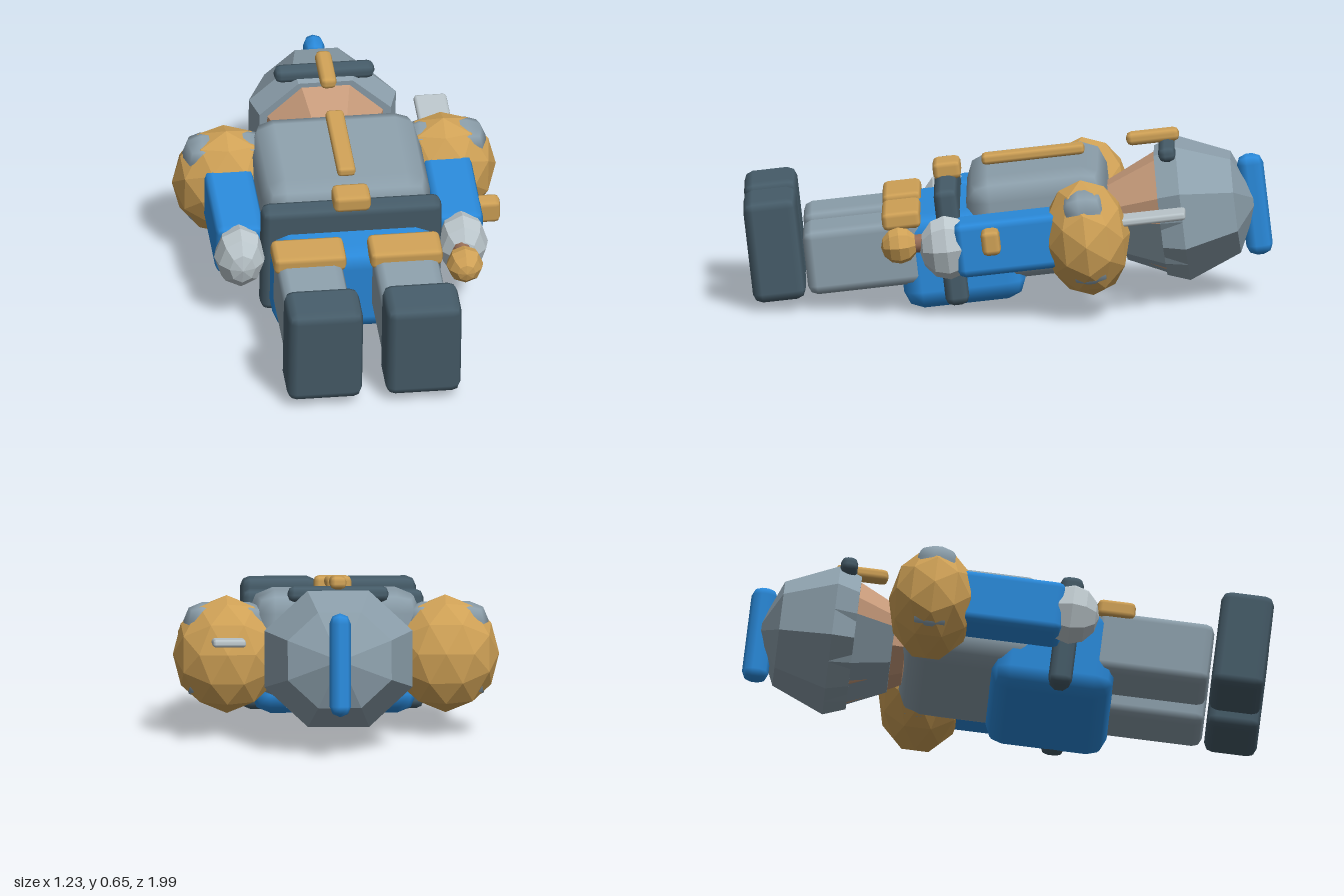
import * as THREE from 'three';
import { RoundedBoxGeometry } from 'three/addons/geometries/RoundedBoxGeometry.js';

// The knight lies on its back, leaning slightly: its own "up" runs toward -z, its front faces +y.
const LEAN = 0.115 - Math.PI / 2;

const paint = (name, color, extra = {}) => {
  const m = new THREE.MeshStandardMaterial({ color, ...extra });
  m.name = name;
  return m;
};

// Turn a geometry into flat facets
function facet(geometry) {
  const g = geometry.index ? geometry.toNonIndexed() : geometry;
  g.computeVertexNormals();
  return g;
}

const profile = (pts, segments, start, length) => facet(new THREE.LatheGeometry(
  pts.map(([x, y]) => new THREE.Vector2(x, y)), segments, start, length));

export function createModel() {
  const armor = paint('armor grey', 0x8c9fab, { side: THREE.DoubleSide });
  const steel = paint('pale steel', 0xbcc7cc);
  const gold = paint('gold', 0xcfa156);
  const blue = paint('blue cloth', 0x2a8adb);
  const dark = paint('dark slate', 0x465c69);
  const skin = paint('skin', 0xc69a7a);
  const leather = paint('leather', 0x9a705a);

  const model = new THREE.Group();
  model.name = 'knight';

  const add = (name, geometry, material, x, y, z) => {
    const mesh = new THREE.Mesh(geometry, material);
    mesh.name = name;
    mesh.position.set(x, y, z);
    mesh.rotation.x = LEAN;
    model.add(mesh);
    return mesh;
  };
  // Chamfered block: width across, height along the body, depth toward the front
  const block = (name, material, [w, h, d], [x, y, z], r = 0.03) =>
    add(name, new RoundedBoxGeometry(w, h, d, 1, Math.min(r, w * 0.48, h * 0.48, d * 0.48)), material, x, y, z);

  // Torso, pelvis and belt
  block('torso', armor, [0.64, 0.53, 0.4], [0, 0.333, -0.12], 0.09);
  block('chestRidge', gold, [0.07, 0.39, 0.04], [0, 0.553, -0.094], 0.015);
  block('pelvis', blue, [0.62, 0.46, 0.36], [0, 0.205, 0.173], 0.07);
  block('belt', dark, [0.684, 0.09, 0.45], [0, 0.256, 0.21], 0.03);
  block('buckle', gold, [0.142, 0.105, 0.07], [0, 0.497, 0.23], 0.02);

  // Legs and arms, mirrored
  for (const s of [-1, 1]) {
    const side = s > 0 ? 'left' : 'right';
    block(side + 'Boot', dark, [0.285, 0.2, 0.39], [s * 0.187, 0.238, 0.877], 0.035);
    block(side + 'Leg', armor, [0.25, 0.45, 0.25], [s * 0.183, 0.211, 0.537], 0.035);
    block(side + 'Tasset', gold, [0.275, 0.145, 0.07], [s * 0.183, 0.355, 0.4], 0.02);
    block(side + 'Arm', blue, [0.185, 0.45, 0.21], [s * 0.415, 0.298, -0.03], 0.03);
    block(side + 'ShoulderBlock', armor, [0.32, 0.17, 0.365], [s * 0.415, 0.325, -0.3], 0.07);

    const pauldron = facet(new THREE.IcosahedronGeometry(1, 1));
    add(side + 'Pauldron', pauldron, gold, s * 0.412, 0.312, -0.3).scale.set(0.203, 0.165, 0.222);
    const hand = facet(new THREE.SphereGeometry(1, 8, 6));
    add(side + 'Hand', hand, steel, s * 0.422, 0.275, 0.225).scale.set(0.098, 0.105, 0.123);
  }

  // Head and open-faced helmet, eight-sided with a flat side to the front
  const headAt = [0, 0.345, -0.66];
  const turn = Math.PI / 8;
  const face = profile([[0, -0.29], [0.14, -0.28], [0.25, -0.06], [0.25, 0.05], [0, 0.1]], 8, turn, Math.PI * 2);
  add('face', face, skin, ...headAt).scale.z = 0.96;
  const dome = profile([[0, -0.085], [0.27, -0.085], [0.302, 0], [0.212, 0.2], [0, 0.285]], 8, turn, Math.PI * 2);
  add('helmetDome', dome, armor, ...headAt).scale.z = 0.92;
  const guard = profile([[0, -0.24], [0.19, -0.23], [0.262, -0.085], [0.28, 0]], 4, Math.PI / 2, Math.PI);
  add('neckGuard', guard, armor, ...headAt).scale.z = 0.92;
  block('visor', dark, [0.38, 0.065, 0.06], [0, 0.583, -0.6], 0.025);
  block('noseGuard', gold, [0.062, 0.2, 0.05], [0, 0.62, -0.545], 0.02);
  block('crest', blue, [0.08, 0.1, 0.39], [0, 0.36, -0.93], 0.04);

  // Sword lying along the left arm
  const swordX = 0.41;
  const along = (z) => [swordX, 0.28 + 0.117 * (0.405 - z), z];
  block('swordBlade', steel, [0.125, 0.76, 0.03], along(-0.295), 0.012);
  block('swordGuard', gold, [0.35, 0.07, 0.095], along(0.06), 0.02);
  add('swordGrip', new THREE.CylinderGeometry(0.035, 0.035, 0.33, 8), leather, ...along(0.22));
  add('swordPommel', facet(new THREE.SphereGeometry(0.07, 8, 6)), gold, ...along(0.405));

  return model;
}
